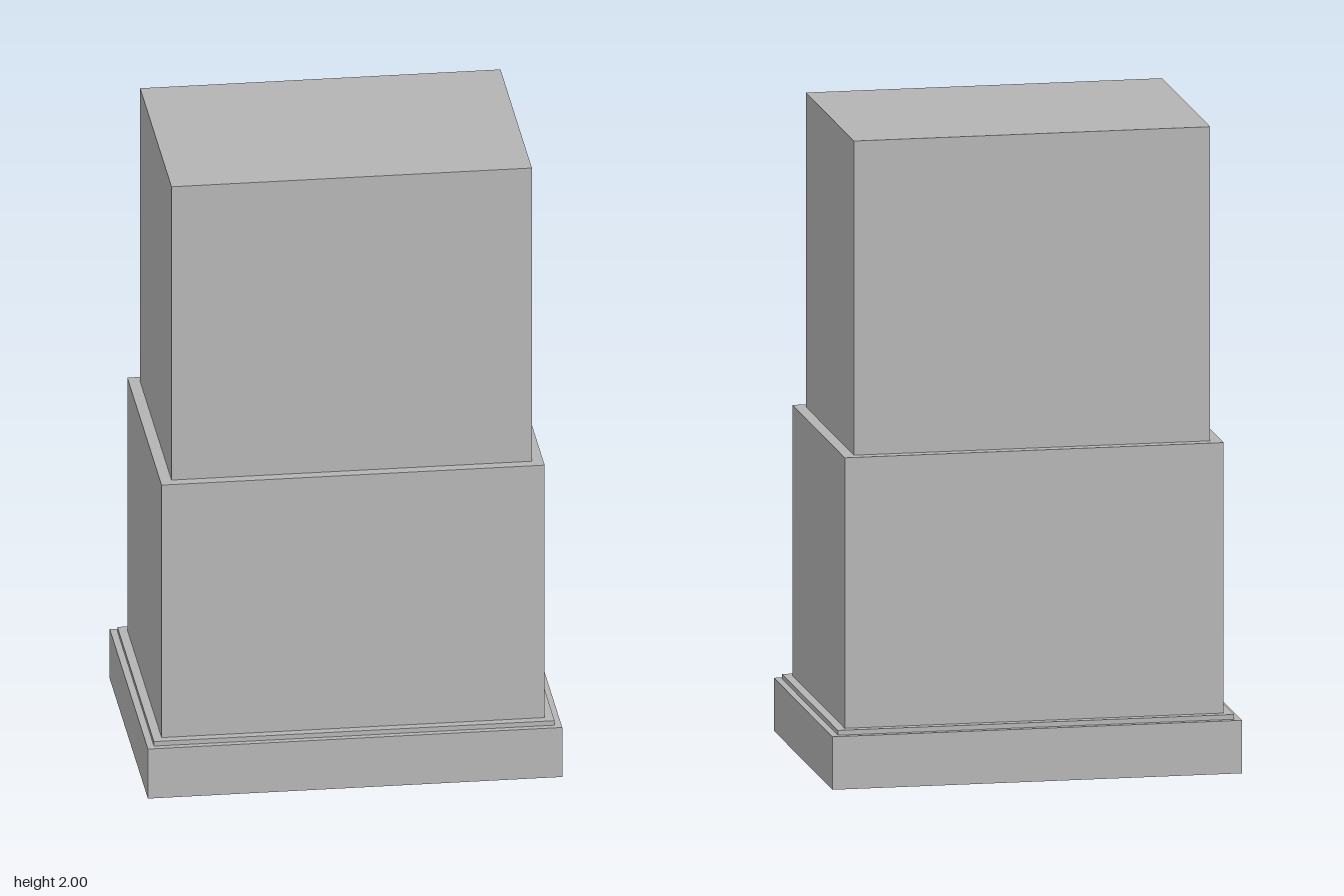
import * as THREE from 'three';

export function createModel() {
  const model = new THREE.Group();
  model.name = 'pedestal';
  const stone = new THREE.MeshStandardMaterial({ color: 0xb4b4b4 });
  stone.name = 'grey stone';

  // Stacked tiers: name, width, depth, bottom, top
  const tiers = [
    ['basePlinth', 1.274, 0.91, 0, 0.165],
    ['baseTrim', 1.232, 0.87, 0.165, 0.18],
    ['lowerBlock', 1.178, 0.816, 0.18, 1.022],
    ['upperBlock', 1.108, 0.748, 1.022, 2],
  ];
  for (const [name, width, depth, bottom, top] of tiers) {
    const tier = new THREE.Mesh(new THREE.BoxGeometry(width, top - bottom, depth), stone);
    tier.name = name;
    tier.position.y = (bottom + top) / 2;
    model.add(tier);
  }
  return model;
}
